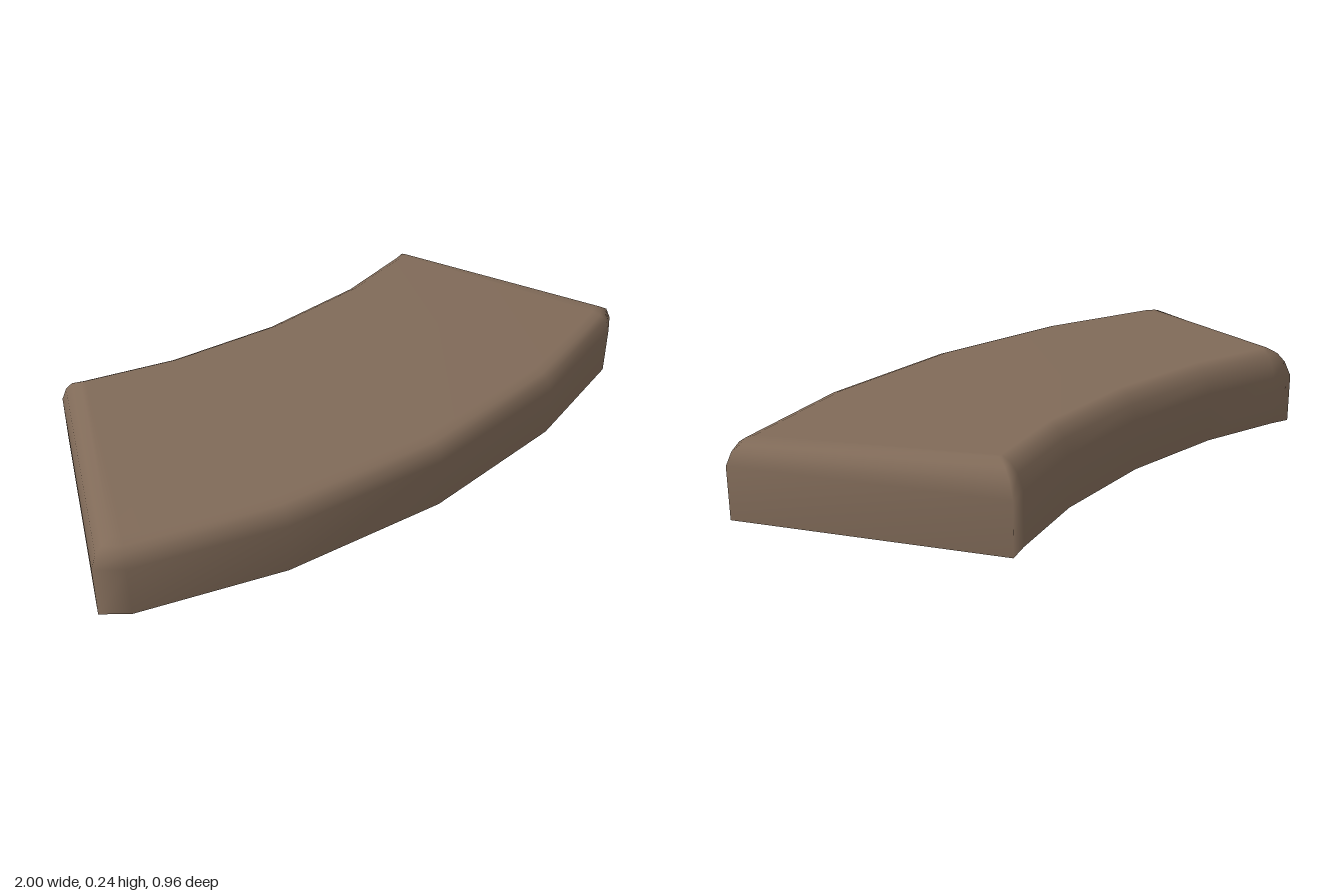
import * as THREE from 'three';

// Half outlines [x, z] from the middle out to the end
const frontHalf = [[0, 0.48], [0.51, 0.43], [0.93, 0.305], [1, 0.25]];
const backHalf = [[0, -0.36], [0.35, -0.39], [0.62, -0.46], [0.685, -0.483]];

// Rings from the open base to the rim: inset, height at front, height at back
const rings = [
  [0, 0, 0],
  [0, 0.155, 0.155],
  [0.015, 0.193, 0.2],
  [0.034, 0.206, 0.227],
  [0.06, 0.215, 0.243],
];

// Mirrors a half outline into a row running from -x to +x
function mirrorRow(half) {
  return [...half.slice(1).reverse().map(([x, z]) => [-x, z]), ...half];
}

// Moves every corner of the loop inward by a mitred distance
function insetLoop(loop, distance) {
  const n = loop.length;
  const inward = (a, b) => new THREE.Vector2(b[1] - a[1], a[0] - b[0]).normalize();
  return loop.map((p, i) => {
    const n1 = inward(loop[(i + n - 1) % n], p);
    const n2 = inward(p, loop[(i + 1) % n]);
    const k = distance / (1 + n1.dot(n2));
    return [p[0] + (n1.x + n2.x) * k, p[1] + (n1.y + n2.y) * k];
  });
}

function slabGeometry() {
  const front = mirrorRow(frontHalf);
  const loop = [...front, ...mirrorRow(backHalf).reverse()];
  const n = loop.length;
  const half = front.length;
  const positions = [];
  const index = [];

  for (const [inset, yFront, yBack] of rings) {
    insetLoop(loop, inset).forEach(([x, z], i) => positions.push(x, i < half ? yFront : yBack, z));
  }

  // Walls and rounded shoulder
  for (let r = 0; r < rings.length - 1; r++) {
    for (let i = 0; i < n; i++) {
      const a = r * n + i;
      const b = r * n + (i + 1) % n;
      index.push(a, b, b + n, a, b + n, a + n);
    }
  }

  // Top surface, sloping from the back row down to the front row
  const top = (rings.length - 1) * n;
  for (let i = 0; i < half - 1; i++) {
    const a = top + i;
    const b = a + 1;
    const c = top + n - 2 - i;
    const d = c + 1;
    index.push(a, b, c, a, c, d);
  }

  const geometry = new THREE.BufferGeometry();
  geometry.setAttribute('position', new THREE.Float32BufferAttribute(positions, 3));
  geometry.setIndex(index);
  geometry.computeVertexNormals();
  return geometry;
}

export function createModel() {
  const group = new THREE.Group();
  group.name = 'curvedSlab';

  // The shell is open underneath, so both sides show
  const material = new THREE.MeshStandardMaterial({ color: 0x806a58, side: THREE.DoubleSide });
  const slab = new THREE.Mesh(slabGeometry(), material);
  slab.name = 'slabShell';
  group.add(slab);
  return group;
}
